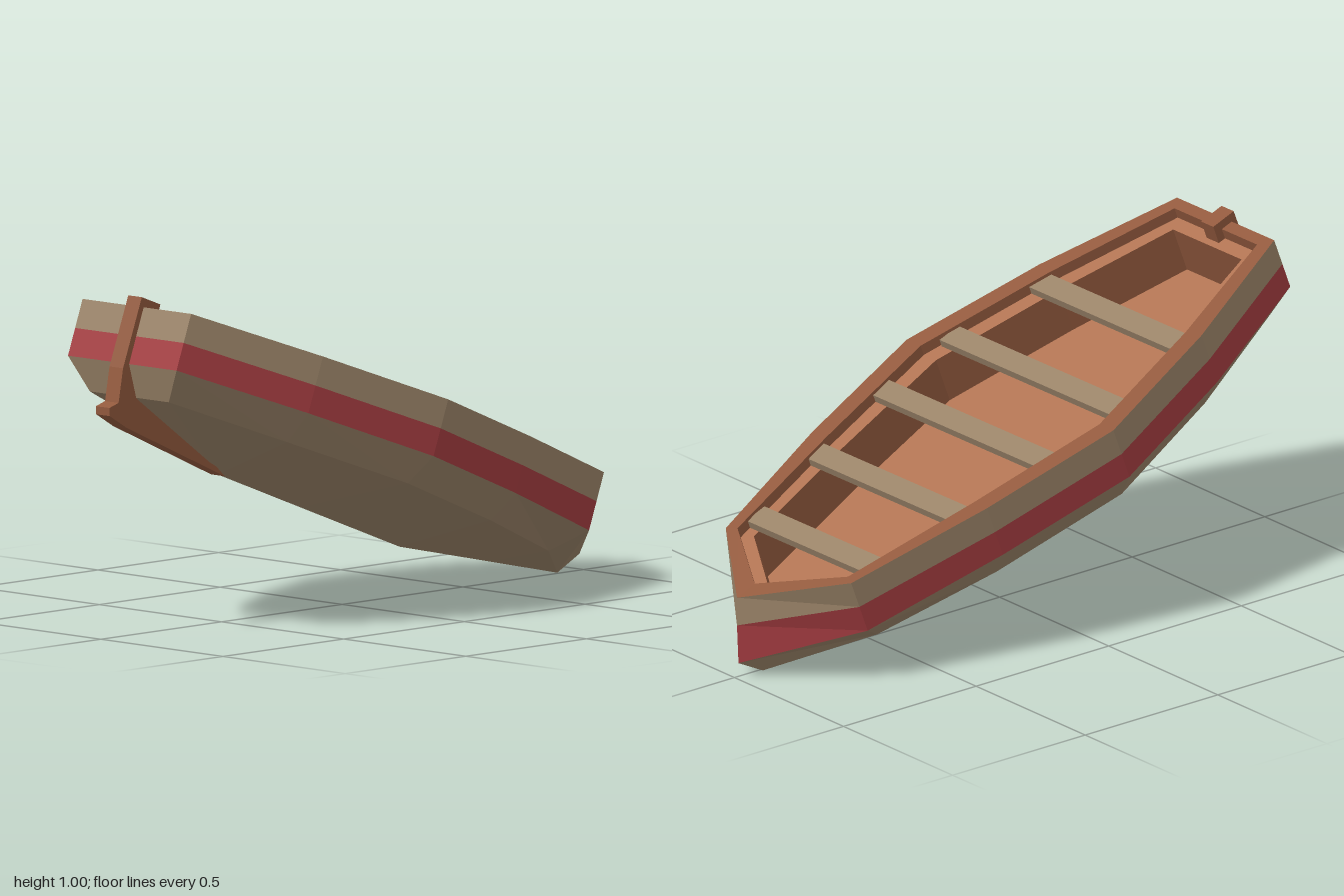
import * as THREE from 'three';

const mat = (color) => new THREE.MeshStandardMaterial({ color, flatShading: true, side: THREE.DoubleSide });
const beige = mat(0x9a8368);
const red = mat(0xa33c40);
const wood = mat(0xb07352);
const darkWood = mat(0x935a3e);

// Closed plan outline: left side from stern to bow, then back along the right side
function ring(us, zs, v) {
  const height = (i) => (Array.isArray(v) ? v[i] : v);
  const left = us.map((u, i) => [u, height(i), zs[i]]);
  const right = left.slice(0, 5).reverse().map(([u, y, z]) => [u, y, -z]);
  return [...left, ...right];
}

function flatGeometry(triangles) {
  const g = new THREE.BufferGeometry();
  g.setAttribute('position', new THREE.Float32BufferAttribute(triangles.flat(), 3));
  g.computeVertexNormals();
  return g;
}

// Strip of faces joining each ring to the next
function skin(...rings) {
  const t = [];
  for (let r = 0; r < rings.length - 1; r++) {
    const a = rings[r], b = rings[r + 1];
    a.forEach((p, i) => {
      const j = (i + 1) % a.length;
      t.push(p, b[i], b[j], p, b[j], a[j]);
    });
  }
  return flatGeometry(t);
}

function cap(r) {
  const t = [];
  for (let i = 1; i < r.length - 1; i++) t.push(r[0], r[i], r[i + 1]);
  return flatGeometry(t);
}

export function createModel() {
  const boat = new THREE.Group();
  boat.name = 'rowingBoat';
  const add = (name, geometry, material) => {
    const mesh = new THREE.Mesh(geometry, material);
    mesh.name = name;
    boat.add(mesh);
    return mesh;
  };

  // Outlines from the gunwale down to the keel
  const beam = [0.22, 0.367, 0.468, 0.395, 0.284, 0];
  const outline = (bow) => [-1.148, -0.72, -0.271, 0.178, 0.63, bow];
  const rim = ring(outline(0.842), beam, [0.602, 0.602, 0.602, 0.602, 0.602, 0.595]);
  const stripeTop = ring(outline(0.873), beam, 0.514);
  const stripeBottom = ring(outline(0.91), beam, [0.43, 0.43, 0.43, 0.43, 0.426, 0.4]);
  const chine = ring([-1.084, -0.7, -0.271, 0.175, 0.56, 0.84],
    [0.16, 0.295, 0.395, 0.325, 0.213, 0], [0.345, 0.34, 0.34, 0.34, 0.338, 0.324]);
  const keel = ring([-1.07, -0.642, -0.271, 0.171, 0.555, 0.84],
    [0, 0, 0, 0, 0, 0], [0.34, 0.227, 0.226, 0.225, 0.282, 0.324]);

  // Outlines of the inside
  const innerU = [-1.108, -0.71, -0.271, 0.175, 0.613, 0.77];
  const innerZ = [0.187, 0.308, 0.405, 0.335, 0.25, 0];
  const wellU = [-1.061, -0.69, -0.271, 0.17, 0.59, 0.728];
  const wellZ = [0.155, 0.258, 0.35, 0.29, 0.215, 0];
  const rimInner = ring(innerU, innerZ, [0.602, 0.602, 0.602, 0.602, 0.602, 0.597]);
  const ledgeOuter = ring(innerU, innerZ, 0.568);
  const ledgeInner = ring(wellU, wellZ, 0.568);
  const floor = ring(wellU, wellZ, 0.42);

  add('upperPlanks', skin(rim, stripeTop), beige);
  add('redStripe', skin(stripeTop, stripeBottom), red);
  add('hullBottom', skin(stripeBottom, chine, keel), beige);
  add('gunwale', skin(ledgeOuter, rimInner, rim), darkWood);
  add('innerLedge', skin(ledgeInner, ledgeOuter), wood);
  add('innerWall', skin(floor, ledgeInner), darkWood);
  add('floor', cap(floor), wood);

  // Benches: position along the boat and half length
  [[-0.674, 0.325], [-0.364, 0.385], [-0.08, 0.382], [0.23, 0.332], [0.529, 0.267]].forEach(([u, half], i) => {
    add(`bench${i + 1}`, new THREE.BoxGeometry(0.075, 0.024, half * 2), beige).position.set(u, 0.58, 0);
  });

  // Stern post with its hook over the transom and the skeg below
  const profile = [[-1.166, 0.628], [-1.168, 0.412], [-1.15, 0.312], [-1.182, 0.288], [-1.172, 0.266],
    [-1.091, 0.252], [-0.642, 0.225], [-0.9, 0.33], [-1.04, 0.37], [-1.083, 0.45], [-1.083, 0.628]];
  const shape = new THREE.Shape(profile.map(([u, v]) => new THREE.Vector2(u, v)));
  const post = new THREE.ExtrudeGeometry(shape, { depth: 0.055, bevelEnabled: false });
  post.translate(0, 0, -0.0275);
  add('sternPostAndSkeg', post, darkWood);

  // The boat lies with its bow down
  boat.rotation.set(0, 0.01, -0.363);
  const model = new THREE.Group();
  model.name = 'tiltedBoat';
  model.add(boat);
  return model;
}
